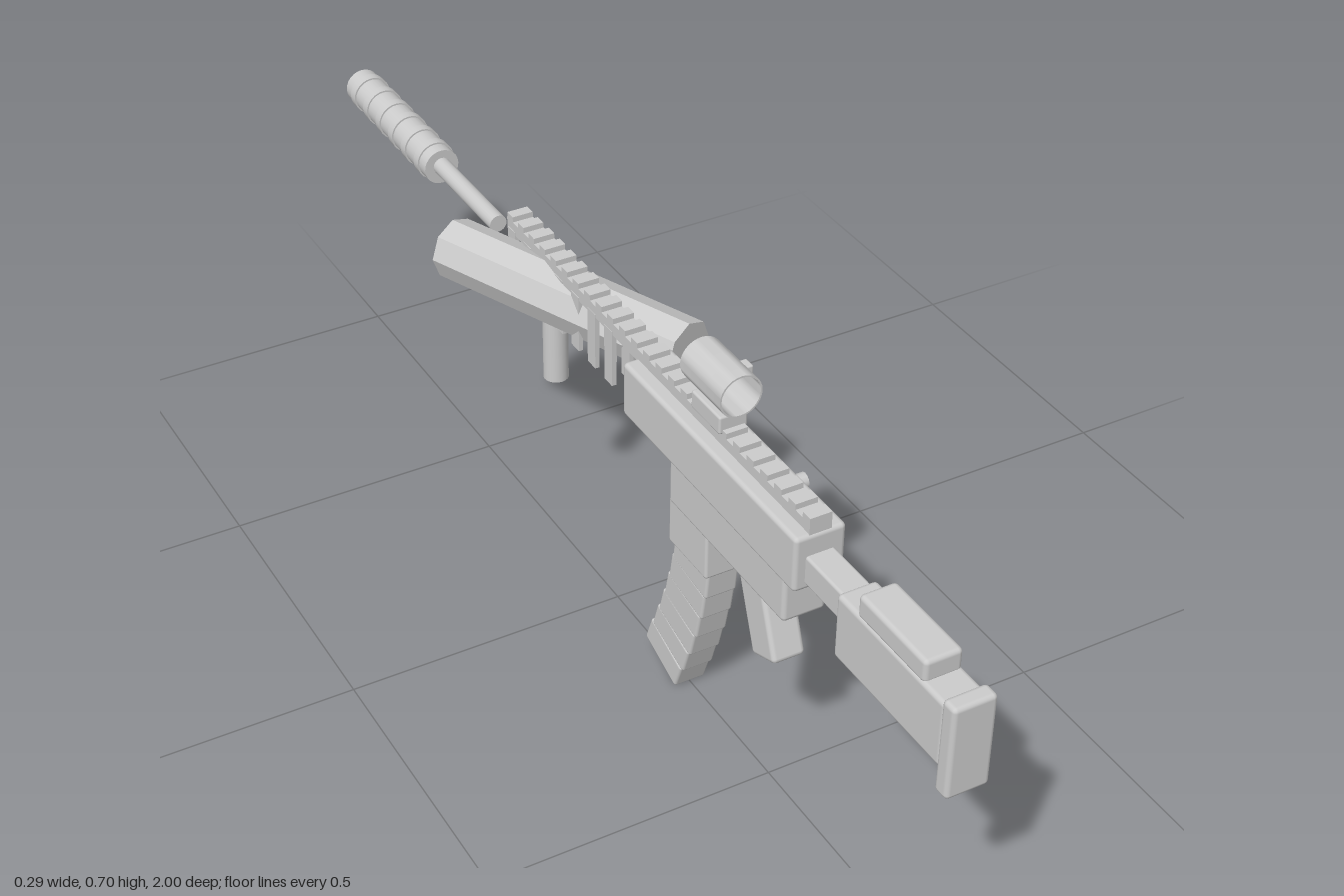
import * as THREE from 'three';
import { RoundedBoxGeometry } from 'three/addons/geometries/RoundedBoxGeometry.js';
import { toCreasedNormals } from 'three/addons/utils/BufferGeometryUtils.js';

const grey = new THREE.MeshStandardMaterial({ color: 0xcccccc, side: THREE.DoubleSide });

export function createModel() {
  const model = new THREE.Group();

  const add = (name, geometry, x, y, z) => {
    const mesh = new THREE.Mesh(geometry, grey);
    mesh.name = name;
    mesh.position.set(x, y, z);
    model.add(mesh);
    return mesh;
  };
  // Box given by width and its y and z ranges; r is the edge rounding
  const block = (name, w, y0, y1, z0, z1, r = 0.008, x = 0) => {
    const h = y1 - y0, d = z1 - z0;
    const geometry = r ? new RoundedBoxGeometry(w, h, d, 2, r) : new THREE.BoxGeometry(w, h, d);
    return add(name, geometry, x, (y0 + y1) / 2, (z0 + z1) / 2);
  };
  // Cylinder lying along z
  const rod = (name, r, y, z0, z1, sides = 20) => add(name,
    new THREE.CylinderGeometry(r, r, z1 - z0, sides).rotateX(Math.PI / 2), 0, y, (z0 + z1) / 2);

  // Stock
  block('buttPad', 0.074, 0.38, 0.547, 0.97, 1);
  block('stock', 0.068, 0.42, 0.536, 0.705, 0.974);
  block('cheekRest', 0.064, 0.53, 0.571, 0.755, 0.922);
  block('stockNeck', 0.05, 0.48, 0.531, 0.6, 0.715, 0.005);

  // Receiver
  block('upperReceiver', 0.088, 0.468, 0.568, 0.095, 0.61);
  block('lowerReceiver', 0.076, 0.385, 0.475, 0.235, 0.577);
  block('magazineWell', 0.074, 0.306, 0.395, 0.235, 0.352, 0.005);
  block('sidePort', 0.004, 0.505, 0.535, 0.235, 0.335, 0, 0.044);
  add('sideKnob', new THREE.CylinderGeometry(0.013, 0.013, 0.03, 12).rotateZ(Math.PI / 2), 0.054, 0.535, 0.457);
  block('triggerGuard', 0.024, 0.361, 0.369, 0.34, 0.45, 0);

  // Grip, sloping to the rear
  add('grip', new RoundedBoxGeometry(0.058, 0.14, 0.068, 2, 0.008), 0, 0.328, 0.489).rotation.x = -0.36;

  // Curved magazine made of tilted segments
  const segments = 6;
  for (let i = 0; i < segments; i++) {
    const t = i / (segments - 1);
    const segment = add('magazineSegment', new RoundedBoxGeometry(0.058, 0.056, 0.106, 2, 0.005),
      0, 0.287 - 0.242 * t, 0.29 - 0.045 * t - 0.037 * t * t);
    segment.rotation.x = 0.12 + 0.24 * t;
  }

  // Toothed top rail
  block('rail', 0.038, 0.564, 0.586, -0.355, 0.607, 0);
  for (let i = 0; i < 25; i++) {
    const z = 0.597 - i * 0.0392;
    block('railTooth', 0.038, 0.584, 0.596, z - 0.01, z + 0.01, 0);
  }

  // Tube sight with an open bore
  block('sightMount', 0.05, 0.588, 0.62, 0.276, 0.361, 0.004);
  const ring = [[0.034, -0.059], [0.037, -0.059], [0.037, 0.059], [0.034, 0.059], [0.034, -0.059]]
    .map(([r, h]) => new THREE.Vector2(r, h));
  add('sightTube', toCreasedNormals(new THREE.LatheGeometry(ring, 28).rotateX(Math.PI / 2), 0.6), 0, 0.663, 0.321);
  block('sightKnob', 0.015, 0.652, 0.674, 0.31, 0.332, 0.003, 0.043);

  // Eight-sided handguard, turned across the rail
  const guard = add('handguard', toCreasedNormals(
    new THREE.CylinderGeometry(0.054, 0.054, 0.507, 8).rotateX(Math.PI / 2), 0.3), 0, 0.521, -0.1725);
  guard.rotation.y = Math.PI / 8;

  // Slats hanging in pairs below the rail
  for (let i = 0; i < 7; i++) {
    const z = -0.338 + i * 0.057;
    for (const side of [-1, 1]) block('railSlat', 0.008, 0.465, 0.57, z - 0.013, z + 0.013, 0, side * 0.016);
  }

  // Foregrip
  add('foregrip', new THREE.CylinderGeometry(0.022, 0.022, 0.135, 20), 0, 0.402, -0.22);

  // Barrel and ribbed muzzle tube
  rod('barrel', 0.016, 0.526, -0.66, -0.43);
  rod('muzzleTube', 0.033, 0.524, -1, -0.656, 24);
  for (let i = 0; i < 6; i++) {
    const z = -0.69 - i * 0.055;
    rod('muzzleRib', 0.036, 0.524, z - 0.009, z + 0.009, 24);
  }

  return model;
}
